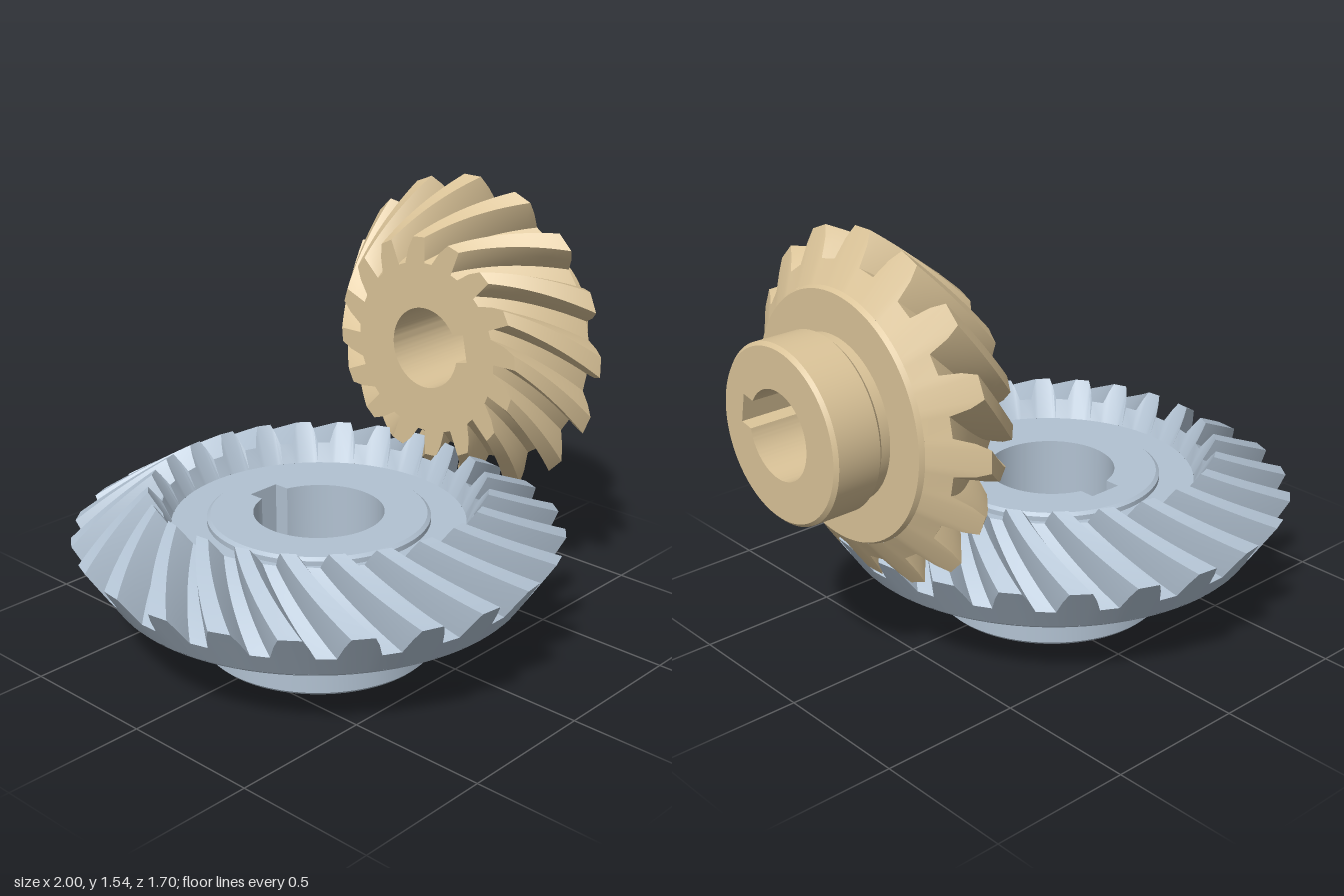
import * as THREE from 'three';
import { toCreasedNormals } from 'three/addons/utils/BufferGeometryUtils.js';

const PITCH = { gear: 0.825, pinion: 0.55 }; // the two pitch radii; each is also the other's cone height
const CONE = Math.hypot(PITCH.gear, PITCH.pinion);
const DEG = Math.PI / 180;
const SECTIONS = 16;

// Toothed rim: cross-sections shrink towards the cone apex (local origin) while twisting around the axis.
function toothedRim(o) {
  const { radius, height, teeth, add, ded, tip, mid, root, twist, phase } = o;
  const sin = radius / CONE, cos = height / CONE;
  const half = [[-root, -ded], [-mid, 0], [-tip, add]];
  const profile = [...half, ...half.map(([w, a]) => [-w, a]).reverse()];
  const around = [];
  for (let t = 0; t < teeth; t++) {
    for (const [w, a] of profile) {
      around.push({ angle: phase + (t / teeth) * Math.PI * 2 + w / 2 / radius, a });
    }
  }
  const n = around.length, pos = [], index = [];
  const point = (r, y, ang) => pos.push(r * Math.cos(ang), y, r * Math.sin(ang));
  const spiral = (s) => twist * Math.log(s) / Math.log(0.686);

  const smallEnd = (a) => (o.flatEnd ? o.flatEnd / (height - a * sin) : o.smallScale);
  for (const p of around) point(o.innerCircle[0], o.innerCircle[1], p.angle + spiral(smallEnd(p.a)));
  for (let k = 0; k <= SECTIONS; k++) {
    for (const p of around) {
      const s0 = smallEnd(p.a), s = s0 + (1 - s0) * k / SECTIONS;
      point(s * (radius + p.a * cos), -s * (height - p.a * sin), p.angle + spiral(s));
    }
  }
  for (const p of around) point(o.backCircle[0], o.backCircle[1], p.angle);

  for (let k = 0; k < SECTIONS + 2; k++) {
    for (let j = 0; j < n; j++) {
      const a = k * n + j, b = k * n + (j + 1) % n;
      index.push(a, b, a + n, b, b + n, a + n);
    }
  }
  const g = new THREE.BufferGeometry();
  g.setAttribute('position', new THREE.Float32BufferAttribute(pos, 3));
  g.setIndex(index);
  return toCreasedNormals(g, 0.5);
}

function turned(points) {
  const g = new THREE.LatheGeometry(points.map(([r, y]) => new THREE.Vector2(r, y)), 96);
  return toCreasedNormals(g, 0.5);
}

// Sleeve around the shaft hole, with a keyway cut into the bore
function keyedSleeve({ outer, bore, keyDepth, keyWidth, keyAngle, top, bottom }) {
  const shape = new THREE.Shape().absarc(0, 0, outer, 0, Math.PI * 2, false);
  const alpha = Math.asin(keyWidth / 2 / bore);
  const hole = new THREE.Path();
  hole.absarc(0, 0, bore, keyAngle + alpha, keyAngle - alpha + Math.PI * 2, false);
  const c = Math.cos(keyAngle), s = Math.sin(keyAngle);
  for (const side of [-1, 1]) {
    const w = side * keyWidth / 2;
    hole.lineTo(keyDepth * c - w * s, keyDepth * s + w * c);
  }
  hole.closePath();
  shape.holes.push(hole);
  const g = new THREE.ExtrudeGeometry(shape, { depth: top - bottom, bevelEnabled: false, curveSegments: 64 });
  g.rotateX(Math.PI / 2).translate(0, top, 0);
  return toCreasedNormals(g, 0.5);
}

function assemble(name, material, parts) {
  const group = new THREE.Group();
  group.name = name;
  for (const [partName, geometry] of Object.entries(parts)) {
    const mesh = new THREE.Mesh(geometry, material);
    mesh.name = partName;
    group.add(mesh);
  }
  group.position.set(-0.15, 0.95, 0); // shared cone apex
  return group;
}

export function createModel() {
  const steel = new THREE.MeshStandardMaterial({ color: 0xb2c2d2 });
  steel.name = 'blue grey steel';
  const brass = new THREE.MeshStandardMaterial({ color: 0xdac398 });
  brass.name = 'pale brass';

  // Large wheel, vertical axis
  const wheel = assemble('largeBevelGear', steel, {
    wheelTeeth: toothedRim({
      radius: PITCH.gear, height: PITCH.pinion, teeth: 24,
      add: 0.047, ded: 0.07, tip: 0.072, mid: 0.108, root: 0.148,
      twist: 18.5 * DEG, phase: -8 * DEG, smallScale: 0.686,
      innerCircle: [0.51, -0.485], backCircle: [0.73, -0.692],
    }),
    wheelHub: turned([
      [0.285, -0.95], [0.403, -0.95], [0.415, -0.938], [0.415, -0.757], [0.403, -0.745],
      [0.39, -0.745], [0.39, -0.69], [0.45, -0.69], [0.45, -0.7], [0.722, -0.7], [0.73, -0.692],
    ]),
    wheelWeb: turned([
      [0.51, -0.485], [0.387, -0.485], [0.387, -0.468], [0.375, -0.458], [0.285, -0.458],
    ]),
    wheelBore: keyedSleeve({
      outer: 0.3, bore: 0.227, keyDepth: 0.275, keyWidth: 0.125, keyAngle: -Math.PI / 2,
      top: -0.458, bottom: -0.95,
    }),
  });

  // Small pinion, built upright and then laid along x
  const pinion = assemble('smallBevelPinion', brass, {
    pinionTeeth: toothedRim({
      radius: PITCH.pinion, height: PITCH.gear, teeth: 16,
      add: 0.047, ded: 0.07, tip: 0.07, mid: 0.108, root: 0.14,
      twist: -27.75 * DEG, phase: 0, flatEnd: 0.55,
      innerCircle: [0.2, -0.55], backCircle: [0.42, -0.915],
    }),
    pinionHub: turned([
      [0.2, -1.15], [0.283, -1.15], [0.295, -1.138], [0.295, -0.985], [0.283, -0.972],
      [0.275, -0.972], [0.275, -0.932], [0.412, -0.932], [0.42, -0.915],
    ]),
    pinionBore: keyedSleeve({
      outer: 0.21, bore: 0.148, keyDepth: 0.188, keyWidth: 0.1, keyAngle: 78.75 * DEG,
      top: -0.55, bottom: -1.15,
    }),
  });
  pinion.rotation.z = Math.PI / 2;

  const model = new THREE.Group();
  model.name = 'spiralBevelGearPair';
  model.add(wheel, pinion);
  return model;
}
